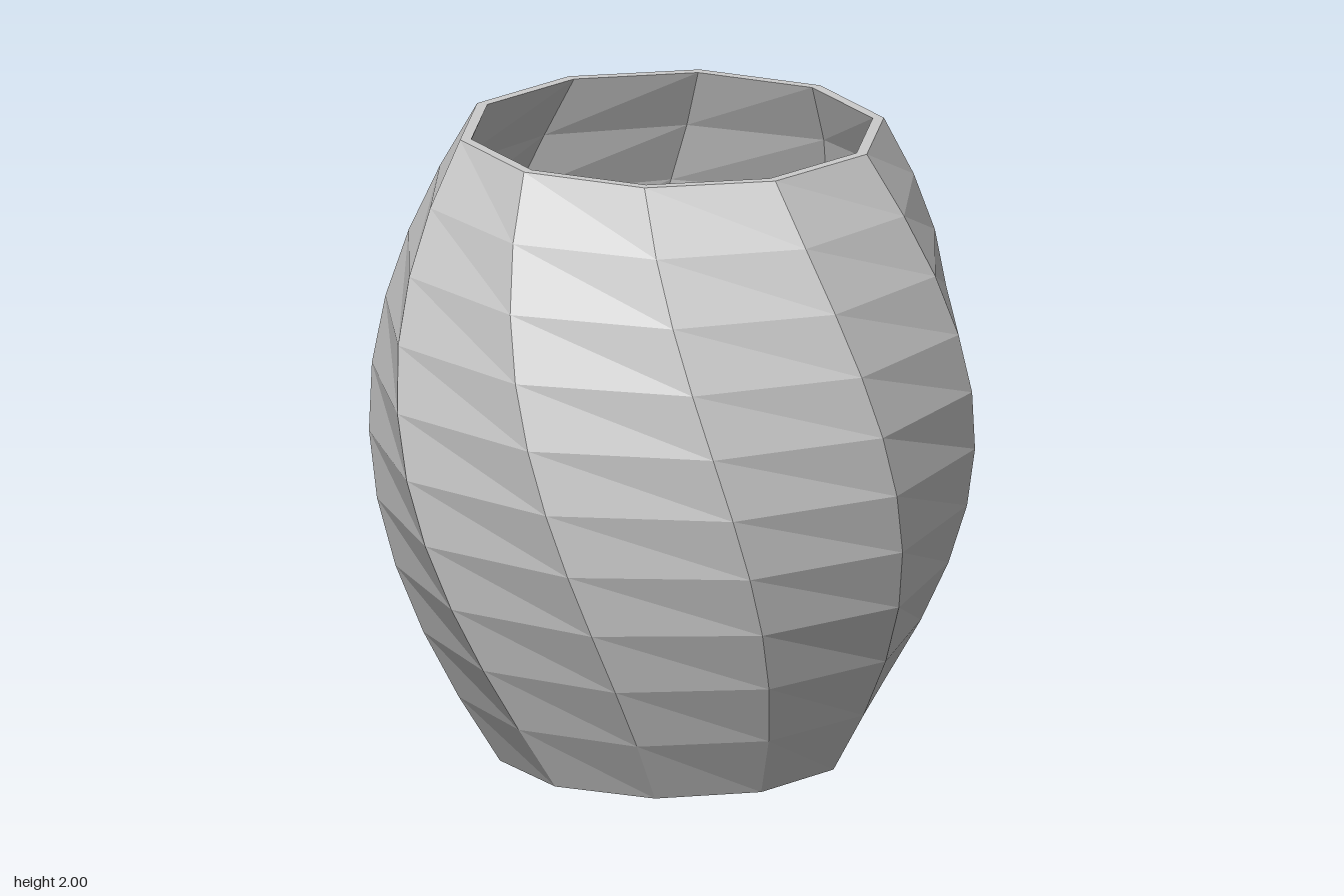
import * as THREE from 'three';

const SIDES = 10;
const LEVELS = 10;
const HEIGHT = 2;
const WALL = 0.035;
const TWIST = THREE.MathUtils.degToRad(37.8);

// Bulging profile: radius of the outer wall at a level, widest just above the middle
const radiusAt = (level) => 0.305 + 0.642 * Math.cos(0.216 * (level - 5.5));

// One twisted decagon; inset moves it to the inner wall
function ring(level, inset = 0) {
  const r = radiusAt(level) - inset;
  const points = [];
  for (let k = 0; k < SIDES; k++) {
    const a = (k / SIDES) * Math.PI * 2 - (level / LEVELS) * TWIST;
    points.push([r * Math.sin(a), (level / LEVELS) * HEIGHT, r * Math.cos(a)]);
  }
  return points;
}

// Faceted skin over successive rings; flip picks the other diagonal of each quad
function skin(name, rings, material, flip = false) {
  const index = [];
  for (let j = 0; j < rings.length - 1; j++) {
    for (let k = 0; k < SIDES; k++) {
      const next = (k + 1) % SIDES;
      const a = j * SIDES + k, b = j * SIDES + next;
      const c = b + SIDES, d = a + SIDES;
      if (flip) index.push(a, b, c, a, c, d);
      else index.push(a, b, d, b, c, d);
    }
  }
  const indexed = new THREE.BufferGeometry();
  indexed.setAttribute('position', new THREE.Float32BufferAttribute(rings.flat(2), 3));
  indexed.setIndex(index);
  const geometry = indexed.toNonIndexed();
  geometry.computeVertexNormals();
  const mesh = new THREE.Mesh(geometry, material);
  mesh.name = name;
  return mesh;
}

export function createModel() {
  const group = new THREE.Group();
  group.name = 'twistedVase';
  const material = new THREE.MeshStandardMaterial({ color: 0xcccccc, flatShading: true });

  const levels = Array.from({ length: LEVELS + 1 }, (_, i) => i);
  const outer = levels.map((i) => ring(i));
  const inner = levels.map((i) => ring(i, WALL)).reverse();

  // Walls, joined by flat rims around the open top and open bottom
  group.add(
    skin('outerWall', outer, material),
    skin('topRim', [outer[LEVELS], inner[0]], material),
    skin('innerWall', inner, material, true),
    skin('bottomRim', [inner[LEVELS], outer[0]], material),
  );
  return group;
}
